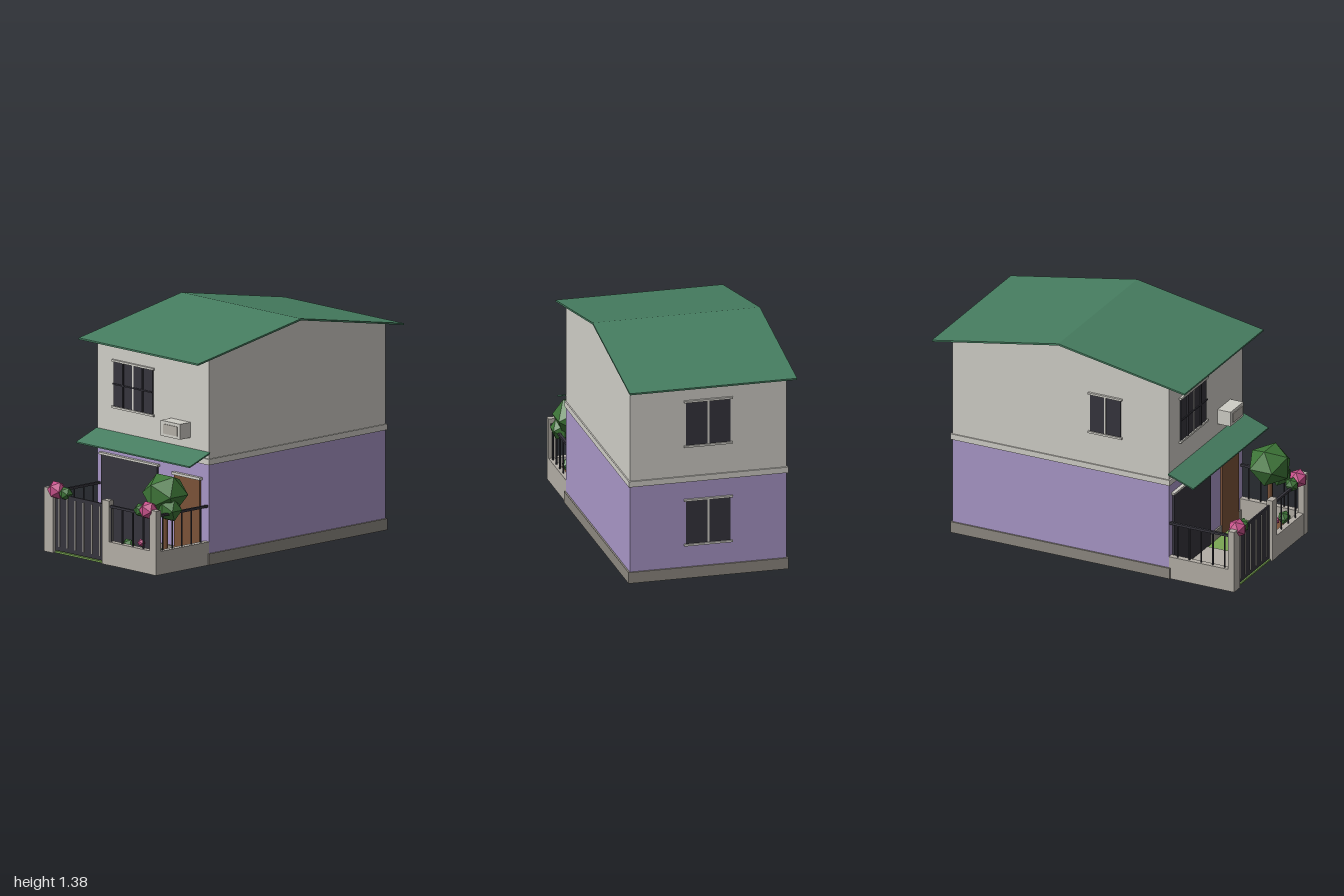
import * as THREE from 'three';

const mat = (name, color, flatShading = false) => {
  const m = new THREE.MeshStandardMaterial({ color, flatShading });
  m.name = name;
  return m;
};

export function createModel() {
  const cream = mat('cream', 0xcfcdc6), purple = mat('lilac', 0xa896c6), stone = mat('stone', 0xb2ada5);
  const plinthGrey = mat('plinthGrey', 0x8d8880), roofGreen = mat('roofGreen', 0x467d60);
  const dark = mat('darkMetal', 0x35343c), brown = mat('wood', 0x7a5238), grass = mat('grass', 0x7aa653);
  const leaf = mat('foliage', 0x3d7537, true), pink = mat('blossom', 0xc7508a, true);

  const model = new THREE.Group();
  model.name = 'townHouse';

  const add = (name, geo, material, parent = model) => {
    const m = new THREE.Mesh(geo, material);
    m.name = name;
    parent.add(m);
    return m;
  };
  // Box given by its limits on each axis
  const box = (name, material, x0, x1, y0, y1, z0, z1, parent = model) => {
    const m = add(name, new THREE.BoxGeometry(x1 - x0, y1 - y0, z1 - z0), material, parent);
    m.position.set((x0 + x1) / 2, (y0 + y1) / 2, (z0 + z1) / 2);
    return m;
  };
  // Side profile of [z, y] points, extruded across the width
  const profile = (name, material, pts, width) => {
    const shape = new THREE.Shape(pts.map(([z, y]) => new THREE.Vector2(z, y)));
    const geo = new THREE.ExtrudeGeometry(shape, { depth: width, bevelEnabled: false });
    geo.rotateY(-Math.PI / 2).translate(width / 2, 0, 0);
    return add(name, geo, material);
  };
  const clump = (name, material, r, x, y, z) => {
    const m = add(name, new THREE.IcosahedronGeometry(r, 0), material);
    m.position.set(x, y, z);
    return m;
  };
  const rod = (name, material, r, x, y0, y1, z) => {
    const m = add(name, new THREE.CylinderGeometry(r, r, y1 - y0, 8), material);
    m.position.set(x, (y0 + y1) / 2, z);
    return m;
  };

  // House body
  box('lowerWalls', purple, -0.475, 0.475, 0, 0.6, -0.88, 0.54);
  box('plinth', plinthGrey, -0.485, 0.485, 0.002, 0.07, -0.89, 0.55);
  box('floorBand', cream, -0.483, 0.483, 0.6, 0.635, -0.89, 0.55);
  profile('upperWalls', cream, [[-0.88, 0.62], [0.54, 0.62], [0.54, 1.235], [-0.17, 1.362], [-0.88, 1.235]], 0.95);

  // Roof and awning
  profile('roof', roofGreen, [[0.66, 1.215], [0.66, 1.225], [-0.17, 1.375], [-1, 1.225], [-1, 1.215], [-0.17, 1.364]], 1.014);
  profile('awning', roofGreen, [[0.705, 0.606], [0.705, 0.614], [0.54, 0.675], [0.54, 0.666]], 0.966);

  // Windows are built facing +z and then turned onto their wall
  const windowUnit = (name, w, h, x, y, z, turn, grille) => {
    const g = new THREE.Group();
    g.name = name;
    box('glass', dark, -w / 2, w / 2, -h / 2, h / 2, -0.004, 0.006, g);
    box('middleFrame', cream, -0.005, 0.005, -h / 2, h / 2, 0, 0.009, g);
    for (const s of [-1, 1]) {
      box('ledge', cream, -w / 2 - 0.012, w / 2 + 0.012, s * (h / 2 + 0.006) - 0.006, s * (h / 2 + 0.006) + 0.006, -0.004, 0.014, g);
      if (grille) box('grilleUpright', dark, s * w / 4 - 0.004, s * w / 4 + 0.004, -h / 2, h / 2, 0.004, 0.014, g);
    }
    if (grille) box('grilleRail', dark, -w / 2, w / 2, -0.004, 0.004, 0.008, 0.014, g);
    g.position.set(x, y, z);
    g.rotation.y = turn;
    model.add(g);
  };
  windowUnit('frontWindow', 0.33, 0.266, -0.165, 0.961, 0.54, 0, true);
  windowUnit('upperBackWindow', 0.27, 0.266, 0, 0.96, -0.88, Math.PI, false);
  windowUnit('lowerBackWindow', 0.27, 0.266, 0, 0.347, -0.88, Math.PI, false);
  windowUnit('sideWindow', 0.2, 0.235, -0.475, 0.962, 0.125, -Math.PI / 2, false);

  // Garage opening and front door
  box('garageDoor', dark, -0.43, 0.045, 0.01, 0.525, 0.54, 0.553);
  box('garageLintel', cream, -0.442, 0.057, 0.525, 0.538, 0.54, 0.562);
  box('frontDoor', brown, 0.19, 0.405, 0.01, 0.5, 0.54, 0.553);
  box('doorLintel', cream, 0.178, 0.417, 0.5, 0.516, 0.54, 0.562);

  // Air conditioner
  box('airConditioner', cream, 0.153, 0.317, 0.738, 0.83, 0.54, 0.625);
  box('airGrille', stone, 0.177, 0.297, 0.755, 0.812, 0.624, 0.63);

  // Yard ground
  box('lawn', grass, -0.47, 0.47, 0, 0.01, 0.54, 0.955);
  box('driveway', stone, -0.4, 0, 0.008, 0.014, 0.54, 0.93);

  // Boundary walls and pillars
  box('frontLowWall', stone, 0.07, 0.43, 0, 0.14, 0.93, 0.967);
  for (const [x0, x1] of [[-0.475, -0.398], [0.018, 0.075], [0.42, 0.475]])
    box('pillar', stone, x0, x1, 0, 0.385, 0.93, 0.97);
  for (const s of [-1, 1]) {
    const x = s * 0.457;
    box('sideLowWall', stone, x - 0.018, x + 0.018, 0, 0.14, 0.54, 0.935);
    box('sideRail', dark, x - 0.008, x + 0.008, 0.343, 0.357, 0.54, 0.935);
    for (let i = 0; i < 5; i++) rod('sideRailPost', dark, 0.005, x, 0.14, 0.345, 0.59 + i * 0.077);
  }
  box('frontRail', dark, 0.07, 0.425, 0.343, 0.357, 0.942, 0.958);
  for (let i = 0; i < 5; i++) rod('frontRailPost', dark, 0.005, 0.08 + i * 0.09, 0.14, 0.345, 0.95);

  // Gate with raised slats
  box('gate', dark, -0.398, 0.018, 0.014, 0.355, 0.94, 0.95);
  for (let i = 0; i < 6; i++) {
    const x = -0.365 + i * 0.069;
    box('gateSlat', stone, x - 0.004, x + 0.004, 0.04, 0.335, 0.949, 0.955);
  }

  // Planter bed
  box('planter', stone, 0.07, 0.41, 0.01, 0.08, 0.815, 0.928);
  box('soil', brown, 0.08, 0.4, 0.079, 0.085, 0.825, 0.92);
  clump('bedBush', leaf, 0.042, 0.135, 0.115, 0.868);
  clump('bedBush', leaf, 0.042, 0.37, 0.115, 0.868);
  clump('bedFlower', pink, 0.024, 0.25, 0.148, 0.872);
  rod('bedFlowerStem', leaf, 0.004, 0.25, 0.08, 0.14, 0.872);

  // Tree
  rod('treeTrunk', brown, 0.016, 0.355, 0.01, 0.36, 0.78);
  clump('treeCrown', leaf, 0.14, 0.355, 0.445, 0.78).scale.set(1, 0.92, 0.98);
  clump('treeSideCrown', leaf, 0.075, 0.425, 0.365, 0.81);

  // Flowering bushes by the gate pillars
  for (const s of [-1, 1]) {
    clump('pillarBlossom', pink, 0.058, s * 0.39, 0.375, 0.948);
    clump('pillarBush', leaf, 0.043, s * 0.318, 0.364, 0.943);
  }
  return model;
}
